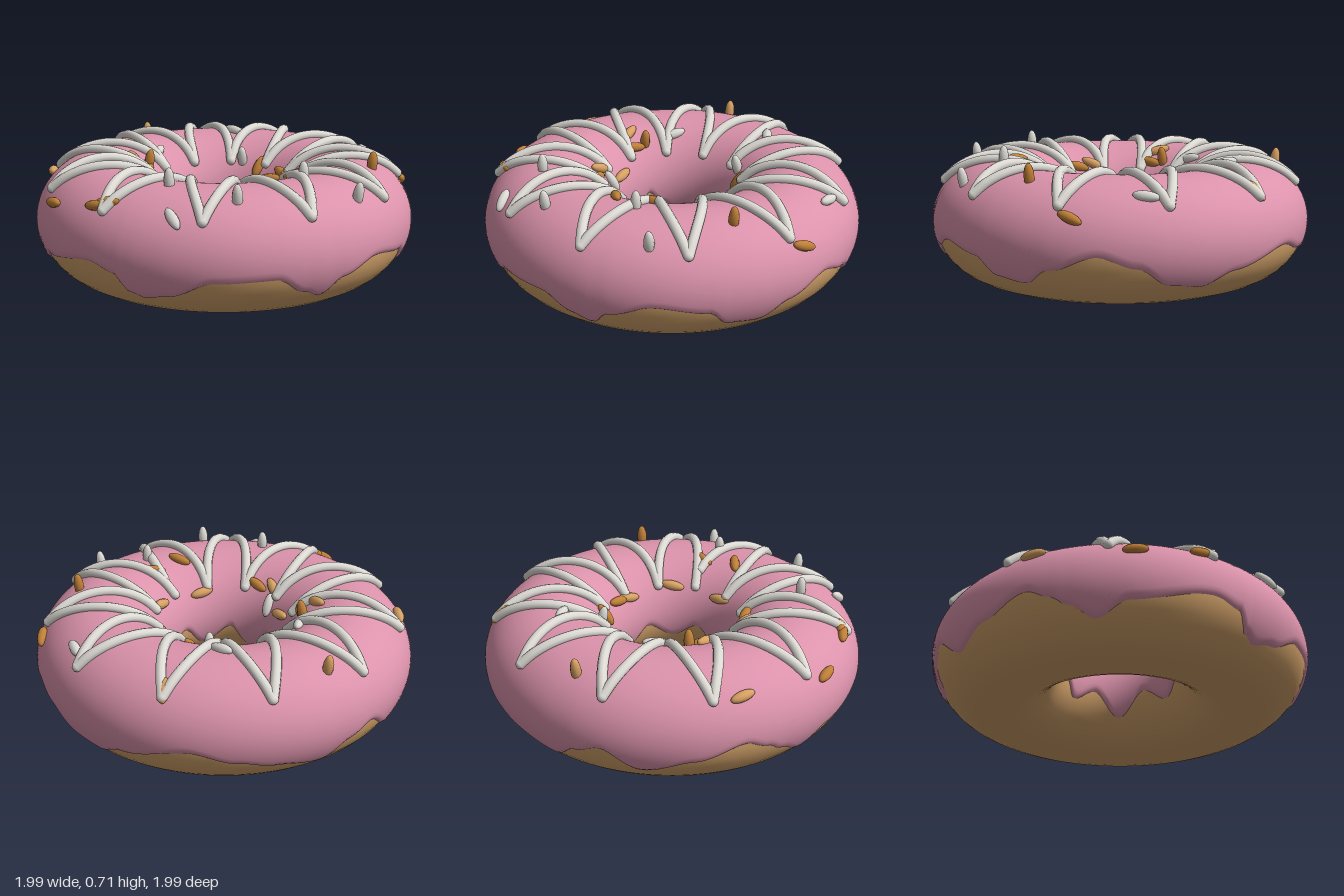
import * as THREE from 'three';
import { mergeVertices } from 'three/addons/utils/BufferGeometryUtils.js';

const RING = 0.65, MID = 0.31, RX = 0.345, RY = 0.315; // ring radius, centre height, icing cross-section
const DEG = Math.PI / 180;

// Icing edge heights as [degrees from +z towards +x, y]
const OUTER = [[6, .26], [15, .22], [18, .13], [23, .1], [31, .13], [44, .22], [62, .23], [71, .14], [77, .1],
  [83, .19], [96, .26], [112, .22], [118, .13], [128, .11], [137, .2], [151, .28], [162, .22], [172, .12], [182, .1],
  [192, .17], [213, .25], [227, .19], [238, .15], [253, .1], [262, .2], [270, .25], [282, .13], [297, .2],
  [312, .28], [319, .23], [324, .18], [332, .11], [342, .19]];
const INNER = [[18, .13], [36, .27], [62, .16], [85, .28], [110, .2], [135, .28], [160, .14], [185, .27], [208, .2],
  [225, .31], [243, .28], [262, .17], [274, .14], [290, .2], [305, .28], [318, .17], [328, .1], [337, .19], [354, .28]];

function edgeHeight(list, deg) {
  const n = list.length;
  for (let i = 0; i < n; i++) {
    const [a, ya] = list[i], [b0, yb] = list[(i + 1) % n];
    const span = (b0 - a + 360) % 360, d = (deg - a + 360) % 360;
    if (d <= span) return THREE.MathUtils.lerp(ya, yb, THREE.MathUtils.smoothstep(d / span, 0, 1));
  }
  return list[0][1];
}

// Height of the icing's upper side at a distance from the axis
const topHeight = r => MID + RY * Math.sqrt(Math.max(0, 1 - ((r - RING) / RX) ** 2));

// Outward normal of the icing's upper side
function topNormal(x, z) {
  const r = Math.hypot(x, z), k = (r - RING) / (RX * RX) / r;
  return new THREE.Vector3(x * k, (topHeight(r) - MID) / (RY * RY), z * k).normalize();
}

// Ring shell whose two edges follow the drip heights and curl down into the dough
function icingGeometry() {
  const cols = 240, rows = 60;
  const geo = new THREE.PlaneGeometry(1, 1, cols, rows);
  const pos = geo.attributes.position;
  for (let i = 0; i < pos.count; i++) {
    const deg = ((i % (cols + 1)) % cols) * 360 / cols, s = Math.floor(i / (cols + 1)) / rows;
    const from = Math.PI - Math.asin((edgeHeight(INNER, deg) - MID) / RY);
    const to = Math.asin((edgeHeight(OUTER, deg) - MID) / RY);
    const phi = THREE.MathUtils.lerp(from, to, s);
    const lift = Math.sqrt(Math.min(1, Math.min(s, 1 - s) * rows / 2));
    const r = RING + Math.cos(phi) * (RX - 0.022 * (1 - lift));
    const y = MID + Math.sin(phi) * (RY - 0.022 * (1 - lift));
    pos.setXYZ(i, r * Math.sin(deg * DEG), y, r * Math.cos(deg * DEG));
  }
  geo.deleteAttribute('uv');
  geo.deleteAttribute('normal');
  const merged = mergeVertices(geo, 1e-5);
  merged.computeVertexNormals();
  return merged;
}

// Zigzag of piped strands, eleven teeth around the ring
function piping(material) {
  const group = new THREE.Group();
  group.name = 'pipedZigzag';
  const half = Math.PI / 11, inner = 0.375, outer = 0.915, thick = 0.026;
  const at = (r, a) => new THREE.Vector3(r * Math.cos(a), topHeight(r), -r * Math.sin(a))
    .addScaledVector(topNormal(r * Math.cos(a), -r * Math.sin(a)), 0.012);
  const ball = new THREE.SphereGeometry(thick, 12, 8);
  for (let i = 0; i < 22; i++) {
    const r0 = i % 2 ? outer : inner;
    const r1 = i === 21 ? 0.45 : i % 2 ? inner : outer; // last strand stops short
    const points = [];
    for (let k = 0; k <= 10; k++) points.push(at(THREE.MathUtils.lerp(r0, r1, k / 10), (i + k / 10) * half));
    const strand = new THREE.Mesh(
      new THREE.TubeGeometry(new THREE.CatmullRomCurve3(points), 24, thick, 10), material);
    strand.name = 'pipedStrand';
    group.add(strand);
    for (const p of i === 21 ? [points[0], points[10]] : [points[0]]) {
      const joint = new THREE.Mesh(ball, material);
      joint.name = 'pipedTurn';
      joint.position.copy(p);
      group.add(joint);
    }
  }
  return group;
}

// Sprinkles as [x, z, heading in degrees from +x towards +z, or null when upright]
const PALE_NUTS = [[-.37, -.81, 60], [.35, -.13, 90], [.32, .16, 100], [-.37, .32, 10], [-.13, .31, 0],
  [0, .4, 45], [-.68, .61, 32], [-.83, -.17, null], [.16, -.32, 50]];
const DARK_NUTS = [[.57, -.76, 75], [.65, -.43, null], [-.09, -.35, 80], [.09, -.35, 30], [.52, -.01, 120],
  [.51, .18, -18], [-.36, .23, null], [-.3, .28, 60], [.1, .38, 15], [-.27, .905, 0], [.07, .9, -20], [.12, .87, -30]];
const WHITE_BITS = [[.22, -.84, 30], [-.4, -.45, -5], [-.2, -.33, null], [-.45, .08, 50], [.63, .05, null],
  [.87, -.07, null], [.63, .5, null], [.28, .62, null], [.48, .77, 30], [-.02, .34, 90]];

function sprinkles(name, list, material) {
  const group = new THREE.Group();
  group.name = name;
  const geo = new THREE.SphereGeometry(1, 10, 10).scale(0.027, 0.066, 0.027);
  const up = new THREE.Vector3(0, 1, 0);
  for (const [x, z, heading] of list) {
    const normal = topNormal(x, z);
    const dir = heading === null
      ? normal.clone().multiplyScalar(0.4).add(up).normalize()
      : new THREE.Vector3(Math.cos(heading * DEG), 0, Math.sin(heading * DEG)).projectOnPlane(normal).normalize();
    const mesh = new THREE.Mesh(geo, material);
    mesh.name = 'sprinkle';
    mesh.position.set(x, topHeight(Math.hypot(x, z)), z).addScaledVector(normal, heading === null ? 0.02 : 0.01);
    mesh.quaternion.setFromUnitVectors(up, dir);
    group.add(mesh);
  }
  return group;
}

export function createModel() {
  const paint = (name, color) => {
    const m = new THREE.MeshStandardMaterial({ color });
    m.name = name;
    return m;
  };
  const cream = paint('cream', 0xdddad4);
  const model = new THREE.Group();
  model.name = 'doughnut';

  // Dough ring
  const dough = new THREE.Mesh(
    new THREE.TorusGeometry(RING, 0.332, 40, 120).rotateX(Math.PI / 2).scale(1, MID / 0.332, 1).translate(0, MID, 0),
    paint('dough', 0xd6a56c));
  dough.name = 'dough';

  // Dripping icing
  const icing = new THREE.Mesh(icingGeometry(), paint('pinkIcing', 0xdc93ac));
  icing.name = 'icing';

  model.add(dough, icing, piping(cream),
    sprinkles('paleNuts', PALE_NUTS, paint('paleNut', 0xd9a263)),
    sprinkles('darkNuts', DARK_NUTS, paint('darkNut', 0xc08038)),
    sprinkles('whiteSprinkles', WHITE_BITS, cream));
  return model;
}
